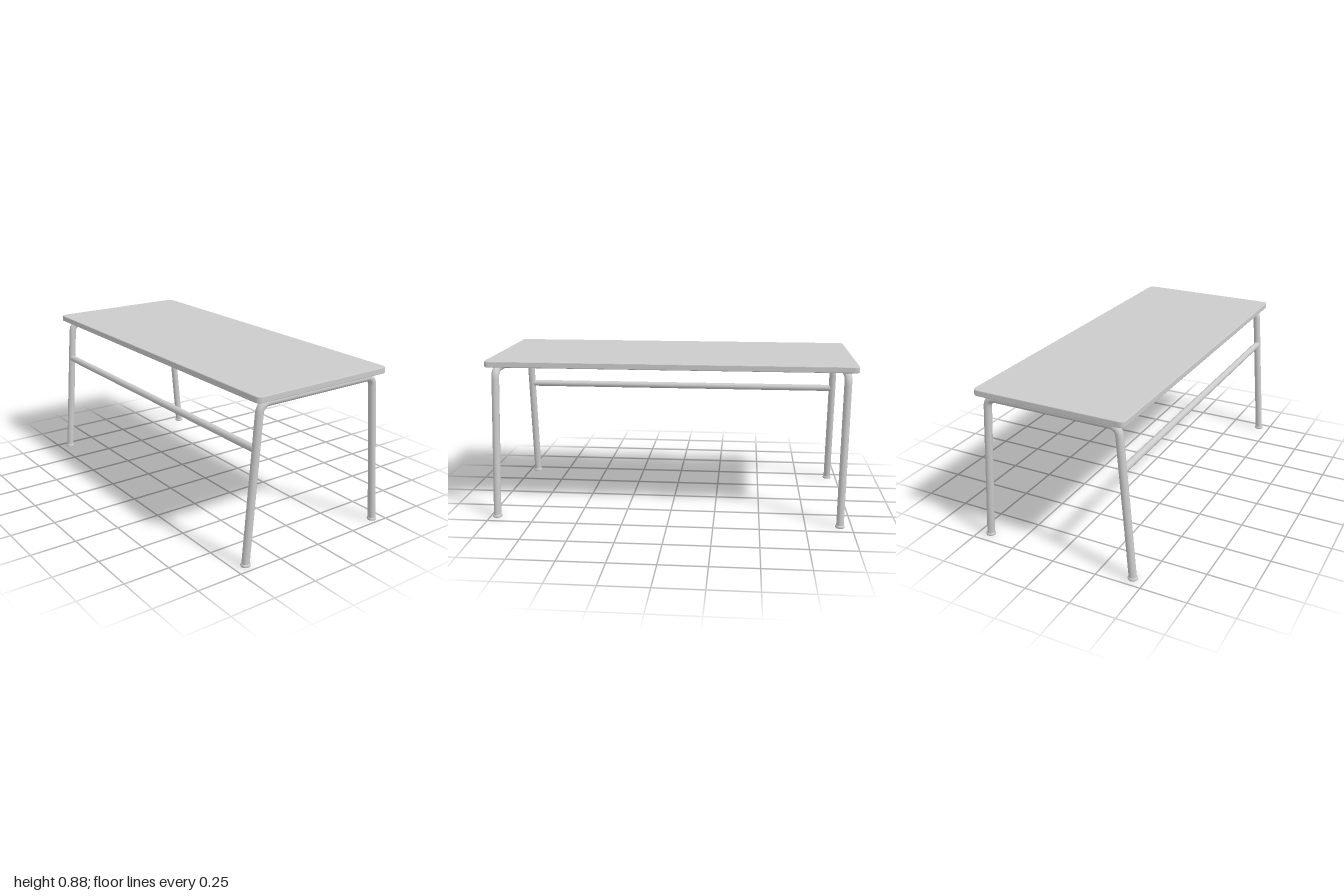
import * as THREE from 'three';

const material = new THREE.MeshStandardMaterial({ color: 0xcccccc });
const v = (x, y, z) => new THREE.Vector3(x, y, z);

function addMesh(parent, name, geometry) {
  const mesh = new THREE.Mesh(geometry, material);
  mesh.name = name;
  parent.add(mesh);
  return mesh;
}

// Thin slab with small rounded corners and a slightly eased rim
function topGeometry() {
  const bevel = 0.004, x = 1 - bevel, z = 0.418 - bevel, r = 0.026;
  const shape = new THREE.Shape();
  shape.moveTo(-x + r, -z);
  shape.lineTo(x - r, -z);
  shape.quadraticCurveTo(x, -z, x, -z + r);
  shape.lineTo(x, z - r);
  shape.quadraticCurveTo(x, z, x - r, z);
  shape.lineTo(-x + r, z);
  shape.quadraticCurveTo(-x, z, -x, z - r);
  shape.lineTo(-x, -z + r);
  shape.quadraticCurveTo(-x, -z, -x + r, -z);
  const geometry = new THREE.ExtrudeGeometry(shape, {
    depth: 0.033 - 2 * bevel, bevelEnabled: true, bevelSize: bevel,
    bevelThickness: bevel, bevelSegments: 2, curveSegments: 6,
  });
  return geometry.rotateX(-Math.PI / 2).translate(0, 0.845 + bevel, 0);
}

// Bent tube: splayed front leg, top rail, splayed back leg
function legFrameGeometry(frontFoot, backFoot, x) {
  const rail = 0.825, bendY = 0.775, bendZ = 0.37, railZ = 0.315;
  const path = new THREE.CurvePath();
  const frontBend = v(x, bendY, bendZ), backBend = v(x, bendY, -bendZ);
  const frontRail = v(x, rail, railZ), backRail = v(x, rail, -railZ);
  path.add(new THREE.LineCurve3(frontFoot, frontBend));
  path.add(new THREE.QuadraticBezierCurve3(frontBend, v(x, rail, bendZ - 0.004), frontRail));
  path.add(new THREE.LineCurve3(frontRail, backRail));
  path.add(new THREE.QuadraticBezierCurve3(backRail, v(x, rail, -bendZ + 0.004), backBend));
  path.add(new THREE.LineCurve3(backBend, backFoot));
  return new THREE.TubeGeometry(path, 180, 0.0205, 20);
}

// Small foot cap with a soft shoulder, closed at the floor
function footGeometry() {
  const profile = [[0, 0], [0.024, 0], [0.024, 0], [0.0255, 0.003], [0.0255, 0.009], [0.022, 0.014], [0.019, 0.015]];
  return new THREE.LatheGeometry(profile.map(([r, y]) => new THREE.Vector2(r, y)), 20);
}

export function createModel() {
  const model = new THREE.Group();
  model.name = 'table';
  addMesh(model, 'tableTop', topGeometry());

  // One leg frame at each end; the back feet lean slightly sideways
  for (const [side, x] of [['left', 0.95], ['right', -0.947]]) {
    const frame = new THREE.Group();
    frame.name = side + 'LegFrame';
    model.add(frame);
    const front = v(x, 0.008, 0.434), back = v(x + 0.011, 0.008, -0.431);
    addMesh(frame, side + 'LegTube', legFrameGeometry(front, back, x));
    addMesh(frame, side + 'FrontFoot', footGeometry()).position.set(front.x, 0, front.z);
    addMesh(frame, side + 'BackFoot', footGeometry()).position.set(back.x, 0, back.z);
  }

  // Single stretcher between the front legs
  const stretcher = new THREE.CylinderGeometry(0.019, 0.019, 1.895, 20, 1, true).rotateZ(Math.PI / 2);
  addMesh(model, 'frontStretcher', stretcher).position.set(0.0015, 0.601, 0.385);
  return model;
}
